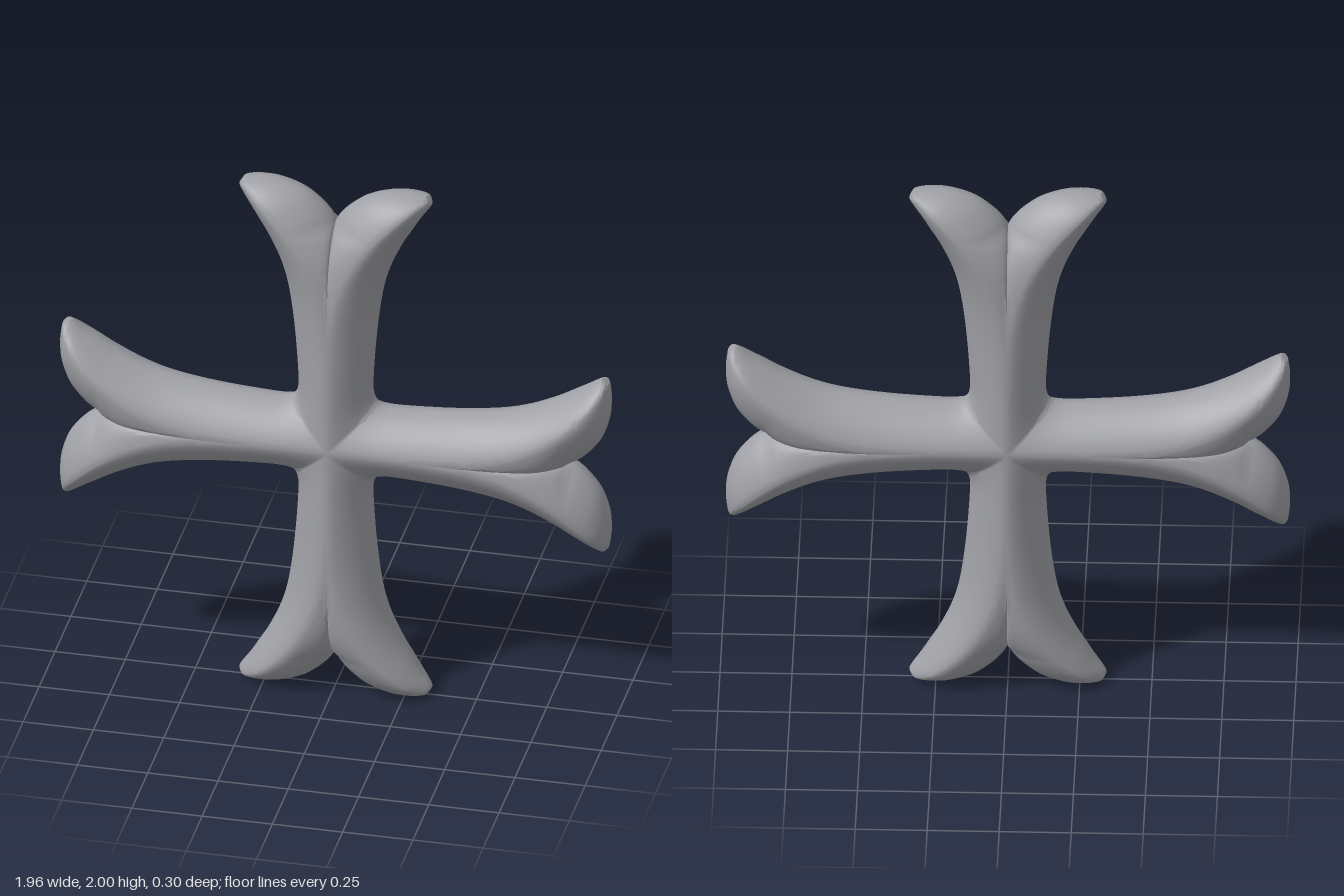
import * as THREE from 'three';
import { toCreasedNormals } from 'three/addons/utils/BufferGeometryUtils.js';

// Half an arm, from the centre to the horn tip, as stations:
// inner edge (along, across), ridge, outer edge, ridge height, valley height
const STATIONS = [
  [0, 0, 0, 0, 0.148, 0.148, 0.145, 0.145],
  [0.1, 0, 0.1, 0, 0.17, 0.136, 0.145, 0.145],
  [0.22, 0, 0.22, 0, 0.23, 0.132, 0.146, 0.146],
  [0.45, 0, 0.45, 0.008, 0.42, 0.145, 0.148, 0.147],
  [0.6, 0, 0.62, 0.04, 0.58, 0.165, 0.148, 0.14],
  [0.74, 0, 0.74, 0.09, 0.69, 0.192, 0.145, 0.115],
  [0.86, 0, 0.84, 0.155, 0.79, 0.235, 0.135, 0],
  [0.95, 0.08, 0.9, 0.21, 0.86, 0.275, 0.12, 0],
  [0.99, 0.17, 0.94, 0.255, 0.91, 0.305, 0.1, 0],
  [1, 0.25, 0.97, 0.295, 0.945, 0.33, 0.068, 0],
  [0.994, 0.318, 0.982, 0.325, 0.965, 0.342, 0.038, 0],
  [0.99, 0.327, 0.984, 0.333, 0.97, 0.342, 0, 0],
];
const ROWS = 55, INNER = 9, OUTER = 11;

const spline = (k, power = 1) => new THREE.SplineCurve(
  STATIONS.map((s) => new THREE.Vector2(s[k] ** power, s[k + 1] ** power)));

// Soft ridged profile: 1 on the ridge, 0 at the edge, meeting the edge upright
const profile = (s) => Math.pow(Math.max(0, 1 - Math.pow(s, 1.5)), 0.58);

// Grid of [along, across, height] for one half arm
function halfArmGrid() {
  const inner = spline(0), ridge = spline(2), outer = spline(4), heights = spline(6, 2);
  const grid = [];
  for (let i = 0; i <= ROWS; i++) {
    const t = i / ROWS;
    const [a, r, o, h] = [inner, ridge, outer, heights].map((c) => c.getPoint(t));
    a.y = Math.max(0, a.y);
    r.y = Math.max(a.y, r.y);
    const H = Math.sqrt(Math.max(0, h.x));
    const V = Math.min(H, Math.sqrt(Math.max(0, h.y)));
    const row = [];
    for (let j = -INNER; j <= OUTER; j++) {
      const s = Math.sin(Math.abs(j) / (j < 0 ? INNER : OUTER) * Math.PI / 2);
      const p = r.clone().lerp(j < 0 ? a : o, s);
      const base = j < 0 ? V : 0;
      row.push([p.x, p.y, base + (H - base) * profile(s)]);
    }
    grid.push(row);
  }
  return grid;
}

function crossGeometry() {
  const grid = halfArmGrid();
  const positions = [];
  // Mirror the half arm to both sides, both ends, both axes, front and back
  for (const sideways of [false, true])
    for (const sa of [1, -1]) for (const sb of [1, -1]) for (const sz of [1, -1]) {
      const place = ([a, b, z]) => {
        // the sideways arms are slightly shorter
        const reach = a - (sideways ? 0.02 * THREE.MathUtils.smoothstep(a, 0.3, 0.8) : 0);
        return sideways ? [sa * reach, 1 + sb * b, sz * z] : [sb * b, 1 + sa * reach, sz * z];
      };
      const flip = sa * sb * sz * (sideways ? -1 : 1) < 0;
      const face = (p, q, r) => positions.push(...place(p), ...place(flip ? r : q), ...place(flip ? q : r));
      for (let i = 0; i < ROWS; i++)
        for (let j = 0; j < INNER + OUTER; j++) {
          const p = grid[i][j], q = grid[i][j + 1], r = grid[i + 1][j + 1], s = grid[i + 1][j];
          face(p, q, r);
          face(p, r, s);
        }
    }
  const geometry = new THREE.BufferGeometry();
  geometry.setAttribute('position', new THREE.Float32BufferAttribute(positions, 3));
  // smooth everywhere but in the sharp valleys between the horns
  return toCreasedNormals(geometry, 0.9);
}

export function createModel() {
  const grey = new THREE.MeshStandardMaterial({ color: 0xa0a1a6 });
  grey.name = 'grey';
  const cross = new THREE.Mesh(crossGeometry(), grey);
  cross.name = 'flaredCross';
  const model = new THREE.Group();
  model.name = 'cross';
  model.add(cross);
  return model;
}
